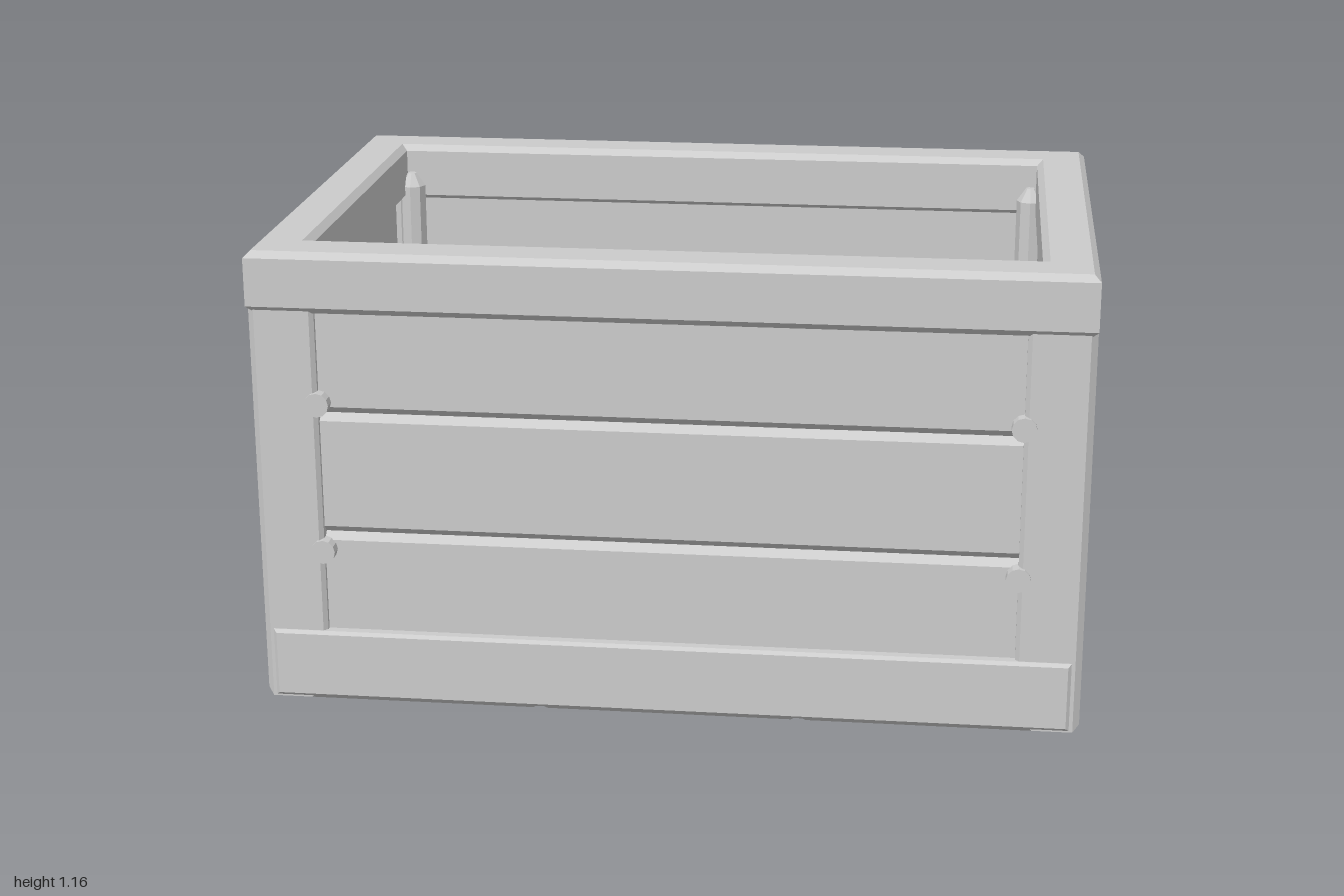
import * as THREE from 'three';

// Rectangular board in XY, thickness centred on z, chamfered all round, with an optional opening.
function board([hx, y0, y1], thickness, bevel, opening) {
  const rect = (Type, x, a, b) => {
    const s = new Type();
    s.moveTo(-x, a);
    s.lineTo(x, a);
    s.lineTo(x, b);
    s.lineTo(-x, b);
    s.closePath();
    return s;
  };
  const shape = rect(THREE.Shape, hx - bevel, y0 + bevel, y1 - bevel);
  if (opening) {
    const [ox, o0, o1] = opening;
    shape.holes.push(rect(THREE.Path, ox + bevel, o0 - bevel, o1 + bevel));
  }
  const depth = thickness - 2 * bevel;
  const geo = new THREE.ExtrudeGeometry(shape, {
    depth, bevelEnabled: true, bevelThickness: bevel, bevelSize: bevel, bevelSegments: 1,
  });
  return geo.translate(0, 0, -depth / 2);
}

export function createModel() {
  const crate = new THREE.Group();
  crate.name = 'crate';
  const grey = new THREE.MeshStandardMaterial({ color: 0xcccccc });
  grey.name = 'crateGrey';

  const add = (parent, name, geo, x = 0, y = 0, z = 0) => {
    const mesh = new THREE.Mesh(geo, grey);
    mesh.name = name;
    mesh.position.set(x, y, z);
    parent.add(mesh);
    return mesh;
  };

  const plankRows = [[0.15, 0.45], [0.45, 0.755], [0.755, 1.06]];

  // Long walls: frame, three planks, bottom rail and bolts
  for (const [name, turn] of [['frontWall', 0], ['backWall', Math.PI]]) {
    const wall = new THREE.Group();
    wall.name = name;
    wall.rotation.y = turn;
    add(wall, 'longFrame', board([0.99, 0.025, 1.1], 0.125, 0.01, [0.84, 0.2, 1.01]), 0, 0, 0.5925);
    for (const [a, b] of plankRows) {
      add(wall, 'longPlank', board([0.9, a, b], 0.08, 0.018), 0, 0, 0.595);
    }
    add(wall, 'bottomRail', board([0.975, 0.025, 0.2], 0.06, 0.008), 0, 0, 0.635);
    for (const x of [-0.84, 0.84]) {
      for (const y of [0.41, 0.785]) {
        const bolt = new THREE.CylinderGeometry(0.03, 0.03, 0.045, 12).toNonIndexed();
        bolt.computeVertexNormals();
        add(wall, 'bolt', bolt.rotateX(Math.PI / 2), x, y, 0.6425);
      }
    }
    crate.add(wall);
  }

  // Short walls: frame and three planks
  for (const [name, turn] of [['leftWall', Math.PI / 2], ['rightWall', -Math.PI / 2]]) {
    const wall = new THREE.Group();
    wall.name = name;
    wall.rotation.y = turn;
    add(wall, 'endFrame', board([0.655, 0.02, 1.1], 0.13, 0.016, [0.5, 0.2, 1.01]), 0, 0, 0.935);
    for (const [a, b] of plankRows) {
      add(wall, 'endPlank', board([0.57, a, b], 0.08, 0.018), 0, 0, 0.94);
    }
    crate.add(wall);
  }

  // Top rim with chamfered edges
  const rim = board([1, -0.665, 0.665], 0.15, 0.016, [0.87, -0.53, 0.53]);
  add(crate, 'topRim', rim.rotateX(-Math.PI / 2), 0, 1.085, 0);

  // Floor planks, chamfered so the joints read as grooves
  for (const x of [-0.64, 0, 0.64]) {
    const plank = board([0.32, -0.63, 0.63], 0.08, 0.018);
    add(crate, 'floorPlank', plank.rotateX(-Math.PI / 2), x, 0.04, 0);
  }

  // Inner corner posts with pointed tops
  const profile = [[0, 0.06], [0.036, 0.06], [0.036, 1.05], [0.012, 1.085], [0, 1.085]];
  for (const x of [-0.855, 0.855]) {
    for (const z of [-0.52, 0.52]) {
      const post = new THREE.LatheGeometry(profile.map(([r, y]) => new THREE.Vector2(r, y)), 8).toNonIndexed();
      post.computeVertexNormals();
      add(crate, 'cornerPost', post, x, 0, z);
    }
  }

  return crate;
}
